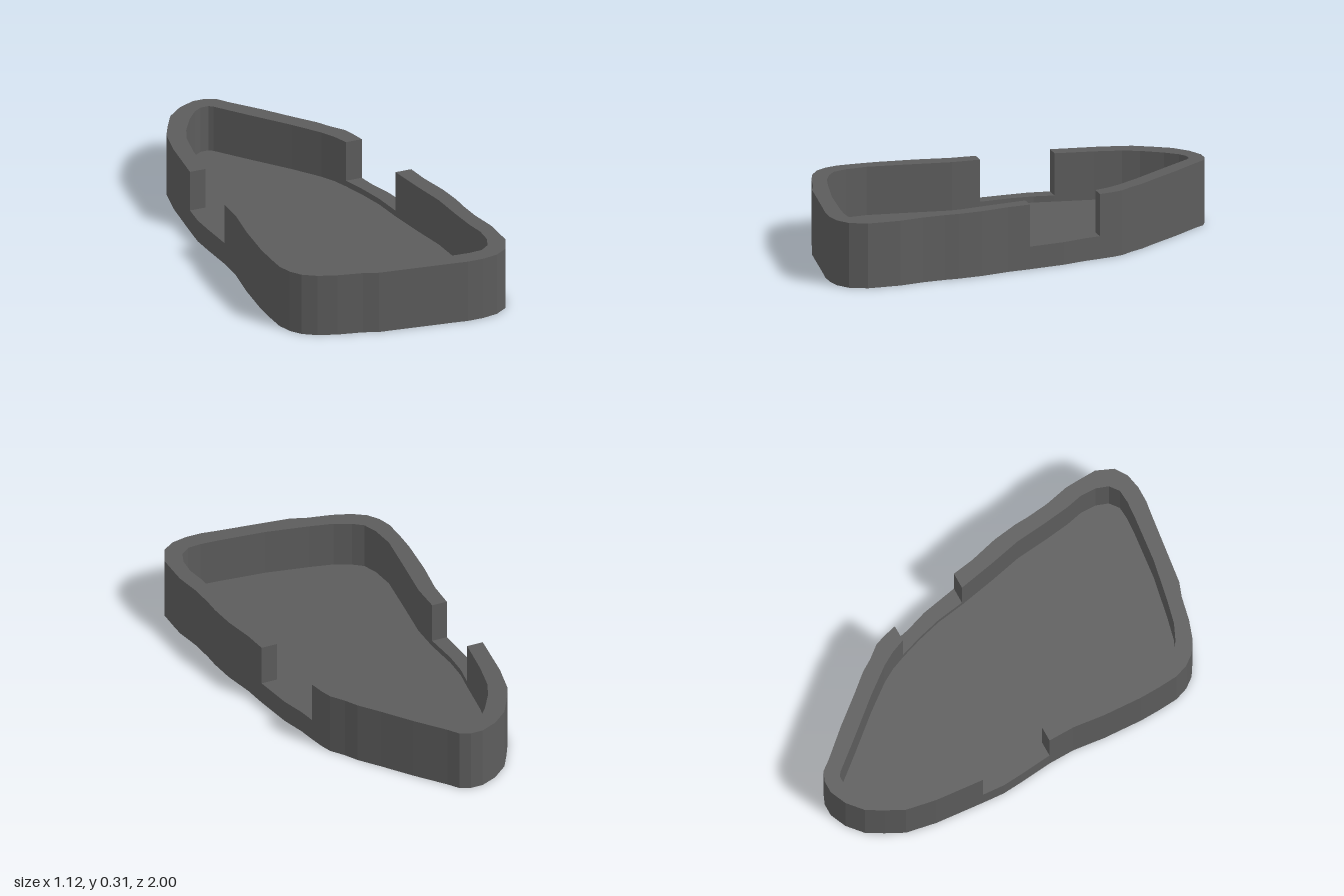
import * as THREE from 'three';

// Heights of the floor, the notch sills and the rim
const FLOOR = 0.08, SILL = 0.11, RIM = 0.315;
// The two notches lie between these z values
const NOTCH_FRONT = 0.03, NOTCH_BACK = -0.34;

// Outlines as x, z pairs, both starting at the front edge of the +x notch
const OUTER = [
  0.42, 0.03, 0.44, 0.14, 0.48, 0.28, 0.5, 0.4, 0.505, 0.47, 0.52, 0.58, 0.55, 0.7,
  0.555, 0.77, 0.56, 0.86, 0.525, 0.945, 0.465, 0.985, 0.39, 1, 0.31, 1, 0.24, 0.99,
  0.08, 0.97, -0.12, 0.945, -0.19, 0.92, -0.31, 0.895, -0.4, 0.865, -0.465, 0.825,
  -0.505, 0.775, -0.53, 0.71, -0.54, 0.61, -0.545, 0.51, -0.54, 0.32, -0.525, 0.16,
  -0.53, 0.03,
  -0.55, -0.13, -0.56, -0.23, -0.555, -0.34,
  -0.54, -0.58, -0.515, -0.73, -0.47, -0.82, -0.425, -0.9, -0.35, -0.965, -0.27, -1,
  -0.21, -1, -0.16, -0.98, -0.12, -0.93, 0, -0.8, 0.11, -0.67, 0.19, -0.58,
  0.23, -0.52, 0.28, -0.46, 0.3, -0.41, 0.32, -0.34,
  0.34, -0.26, 0.38, -0.15, 0.4, -0.06,
];
const INNER = [
  0.34, 0.03, 0.38, 0.21, 0.42, 0.37, 0.44, 0.53, 0.46, 0.66, 0.48, 0.74, 0.48, 0.82,
  0.46, 0.88, 0.415, 0.915, 0.35, 0.92, 0.27, 0.915, 0.03, 0.89, -0.18, 0.85,
  -0.29, 0.825, -0.37, 0.79, -0.42, 0.755, -0.45, 0.69, -0.47, 0.58, -0.46, 0.4,
  -0.445, 0.17, -0.455, 0.03,
  -0.48, -0.13, -0.485, -0.24, -0.475, -0.34,
  -0.46, -0.53, -0.44, -0.66, -0.41, -0.74, -0.35, -0.84, -0.3, -0.9, -0.26, -0.925,
  -0.22, -0.925, -0.2, -0.91, -0.08, -0.77, 0.07, -0.6, 0.17, -0.475, 0.21, -0.41,
  0.24, -0.34,
  0.28, -0.23, 0.315, -0.11,
];

function toPoints(pairs) {
  const points = [];
  for (let i = 0; i < pairs.length; i += 2) points.push(new THREE.Vector2(pairs[i], pairs[i + 1]));
  return points;
}

// Upright faceted prism over an x, z shape, between two heights
function prism(name, shape, bottom, top, material) {
  const geometry = new THREE.ExtrudeGeometry(shape, { depth: top - bottom, bevelEnabled: false });
  geometry.rotateX(Math.PI / 2).translate(0, top, 0);
  const mesh = new THREE.Mesh(geometry, material);
  mesh.name = name;
  return mesh;
}

export function createModel() {
  const group = new THREE.Group();
  group.name = 'notchedTray';
  // Charcoal colour for the whole tray
  const material = new THREE.MeshStandardMaterial({ color: 0x5c5c5c });
  const outer = toPoints(OUTER), inner = toPoints(INNER);

  // Solid floor
  group.add(prism('floor', new THREE.Shape(outer), 0, FLOOR, material));

  // Low wall all the way round, forming the sills of the notches
  const ring = new THREE.Shape(outer);
  ring.holes.push(new THREE.Path(inner));
  group.add(prism('lowWall', ring, FLOOR, SILL, material));

  // Tall walls in front of and behind the notches
  const tallWall = (name, keep) => {
    const outline = [...outer.filter(keep), ...inner.filter(keep).reverse()];
    group.add(prism(name, new THREE.Shape(outline), SILL, RIM, material));
  };
  tallWall('frontWall', (p) => p.y >= NOTCH_FRONT);
  tallWall('backWall', (p) => p.y <= NOTCH_BACK);

  return group;
}
